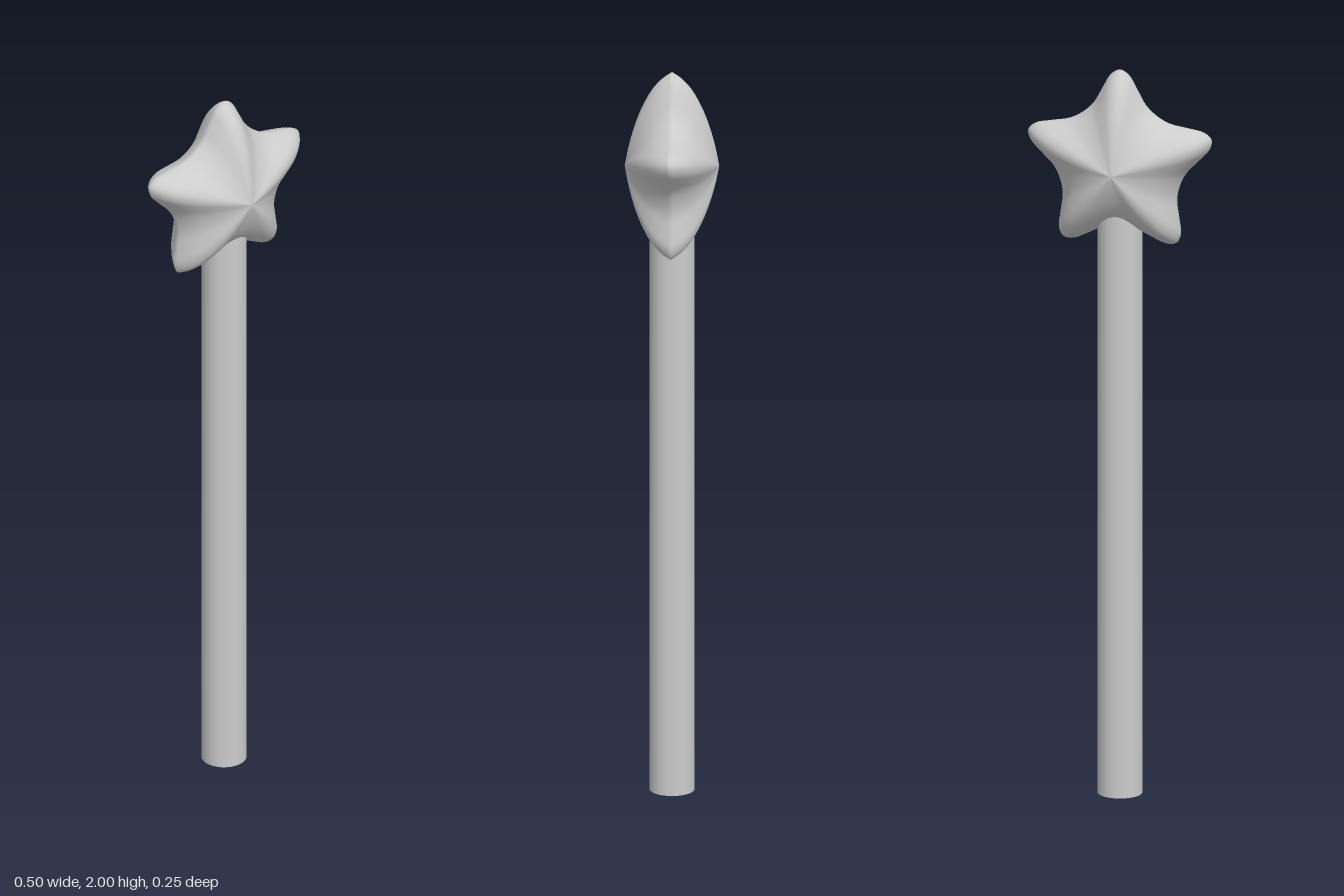
import * as THREE from 'three';

const material = new THREE.MeshStandardMaterial({ color: 0xcccccc });

// Rounded five-pointed outline around the origin, one arm repeated five times
function starOutline(count) {
  // [along arm, across arm], from the valley before the tip to the one after it
  const half = [[0.1375, 0.1], [0.165, 0.071], [0.21, 0.046], [0.247, 0.024]];
  const arm = [
    ...half.map(([a, c]) => [a, -c]),
    [0.26, 0],
    ...half.slice(1).reverse(),
  ];
  const points = [];
  for (let i = 0; i < 5; i++) {
    const t = Math.PI / 2 + (i * Math.PI * 2) / 5;
    for (const [a, c] of arm) {
      points.push(new THREE.Vector3(
        a * Math.cos(t) - c * Math.sin(t), a * Math.sin(t) + c * Math.cos(t), 0));
    }
  }
  return new THREE.CatmullRomCurve3(points, true).getPoints(count).slice(0, count);
}

// Puffy star: the outline is scaled down towards a pole on the front and back
function starGeometry() {
  const count = 160, steps = 16;
  const outline = starOutline(count);
  const profile = new THREE.SplineCurve([
    [0, 0.125], [0.2, 0.115], [0.4, 0.101], [0.6, 0.082], [0.8, 0.055], [0.93, 0.026], [1, 0],
  ].map(([s, z]) => new THREE.Vector2(s, z))).getPoints(steps);
  const rings = [
    ...profile.slice(1),
    ...profile.slice(1, -1).reverse().map((p) => new THREE.Vector2(p.x, -p.y)),
  ];
  const positions = [0, 0, 0.125], index = [];
  for (const ring of rings) {
    for (const p of outline) positions.push(p.x * ring.x, p.y * ring.x, ring.y);
  }
  positions.push(0, 0, -0.125);
  const last = 1 + rings.length * count;
  for (let j = 0; j < count; j++) {
    const k = (j + 1) % count;
    index.push(0, 1 + j, 1 + k);
    for (let i = 0; i < rings.length - 1; i++) {
      const a = 1 + i * count, b = a + count;
      index.push(a + j, b + j, b + k, a + j, b + k, a + k);
    }
    index.push(last, last - count + k, last - count + j);
  }
  const geometry = new THREE.BufferGeometry();
  geometry.setAttribute('position', new THREE.Float32BufferAttribute(positions, 3));
  geometry.setIndex(index);
  geometry.computeVertexNormals();
  return geometry;
}

export function createModel() {
  const model = new THREE.Group();
  model.name = 'starWand';

  // Straight round handle, its top buried in the star
  const handle = new THREE.Mesh(new THREE.CylinderGeometry(0.06, 0.06, 1.65, 40), material);
  handle.name = 'handle';
  handle.position.y = 0.825;
  model.add(handle);

  const star = new THREE.Mesh(starGeometry(), material);
  star.name = 'star';
  star.position.y = 1.74;
  model.add(star);

  return model;
}
